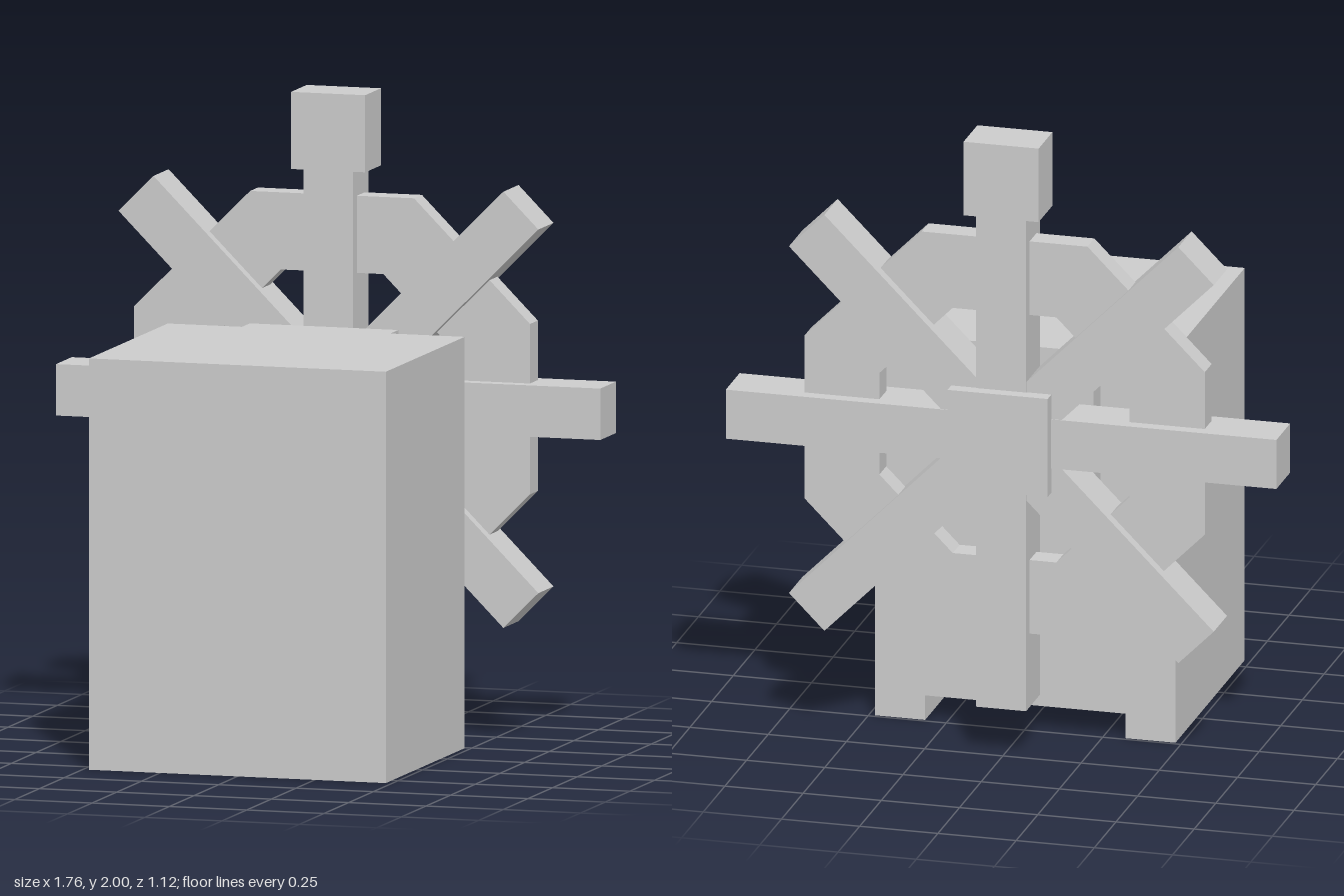
import * as THREE from 'three';

const material = new THREE.MeshStandardMaterial({ color: 0xcccccc, flatShading: true });
const WHEEL_Y = 1.04;
const WHEEL_Z = -0.44;

function add(parent, name, geometry, x = 0, y = 0, z = 0) {
  const mesh = new THREE.Mesh(geometry, material);
  mesh.name = name;
  mesh.position.set(x, y, z);
  parent.add(mesh);
  return mesh;
}

// Corners of a regular octagon with flat sides up, down, left and right
function octagon(apothem) {
  const r = apothem / Math.cos(Math.PI / 8);
  return Array.from({ length: 8 }, (_, i) => {
    const a = (i + 0.5) * Math.PI / 4;
    return new THREE.Vector2(r * Math.cos(a), r * Math.sin(a));
  });
}

export function createModel() {
  const model = new THREE.Group();
  model.name = 'wheelBox';

  // Main block, standing on a low rim that is open at the back
  add(model, 'body', new THREE.BoxGeometry(0.96, 1.2, 0.8), 0, 0.68, 0.16);
  const rimShape = new THREE.Shape([
    [-0.48, 0.24], [-0.48, -0.56], [0.48, -0.56], [0.48, 0.24],
    [0.32, 0.24], [0.32, -0.4], [-0.32, -0.4], [-0.32, 0.24],
  ].map(([x, y]) => new THREE.Vector2(x, y)));
  const rim = new THREE.ExtrudeGeometry(rimShape, { depth: 0.08, bevelEnabled: false });
  rim.rotateX(-Math.PI / 2);
  add(model, 'bottomRim', rim);

  // Mounting plate on the back
  add(model, 'mountPlate', new THREE.BoxGeometry(0.48, 0.48, 0.08), 0, 1.04, -0.28);

  // Wheel
  const wheel = new THREE.Group();
  wheel.name = 'wheel';
  wheel.position.set(0, WHEEL_Y, WHEEL_Z);
  model.add(wheel);

  add(wheel, 'hub', new THREE.BoxGeometry(0.32, 0.32, 0.24));

  // Octagonal ring
  const ringShape = new THREE.Shape(octagon(0.64));
  ringShape.holes.push(new THREE.Path(octagon(0.4)));
  const ring = new THREE.ExtrudeGeometry(ringShape, { depth: 0.08, bevelEnabled: false });
  add(wheel, 'ring', ring, 0, 0, -0.04);

  // Straight spokes; the upright one carries the handle
  add(wheel, 'horizontalSpoke', new THREE.BoxGeometry(1.76, 0.16, 0.16));
  add(wheel, 'verticalSpoke', new THREE.BoxGeometry(0.16, 1.6, 0.16), 0, -0.08, 0);
  add(wheel, 'handle', new THREE.BoxGeometry(0.24, 0.24, 0.16), 0, 0.84, 0);

  // Diagonal spokes, a hair thinner
  for (const side of [-1, 1]) {
    const spoke = add(wheel, 'diagonalSpoke', new THREE.BoxGeometry(1.76, 0.16, 0.154));
    spoke.rotation.z = side * Math.PI / 4;
  }

  return model;
}
